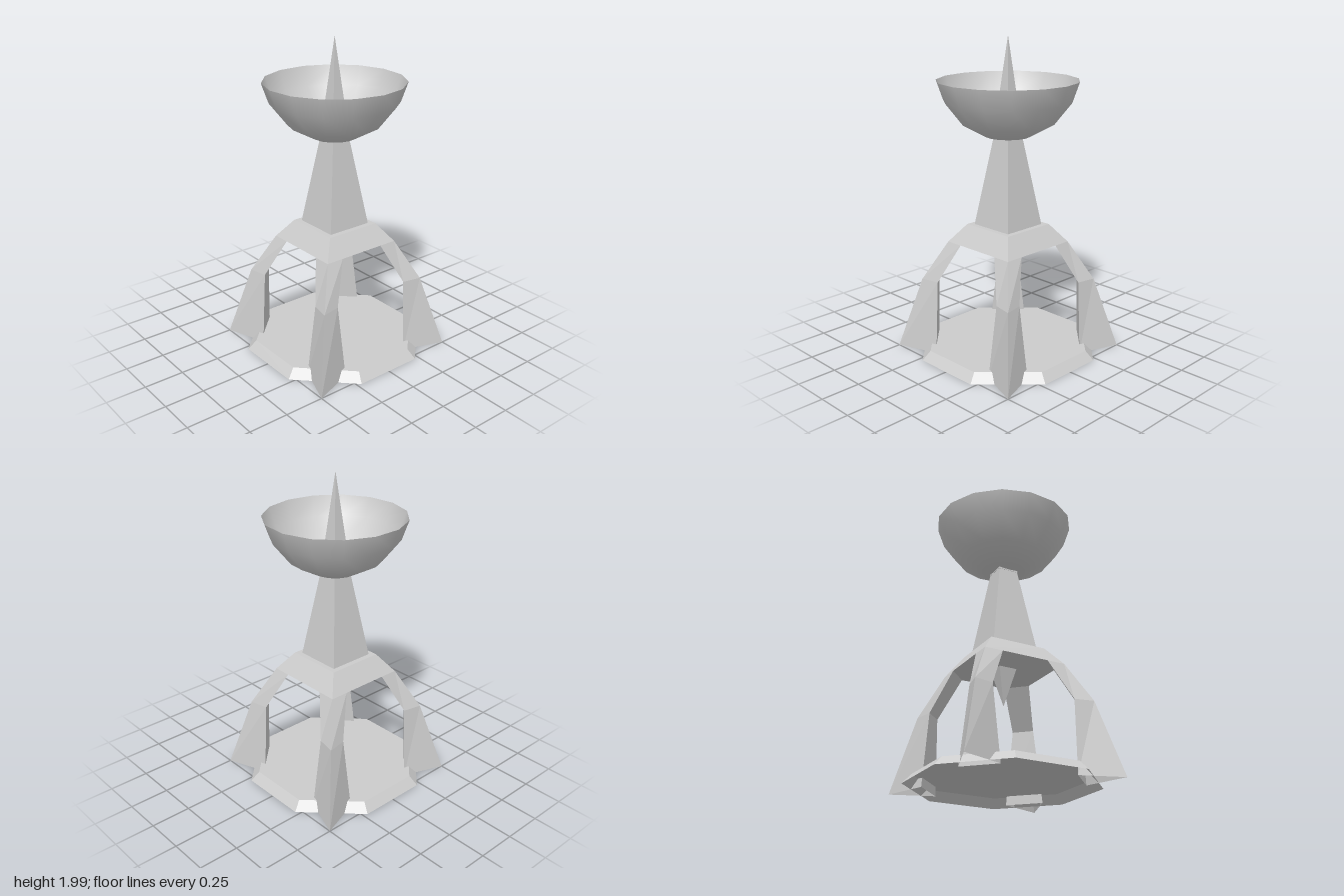
import * as THREE from 'three';

const flat = new THREE.MeshStandardMaterial({ color: 0xcccccc, flatShading: true, side: THREE.DoubleSide });
const smooth = new THREE.MeshStandardMaterial({ color: 0xcccccc, side: THREE.DoubleSide });

function part(name, geometry, material = flat) {
  const mesh = new THREE.Mesh(geometry, material);
  mesh.name = name;
  return mesh;
}

// Square tapered block given by half widths and heights
function taper(name, halfTop, halfBottom, yTop, yBottom) {
  const g = new THREE.CylinderGeometry(halfTop * Math.SQRT2, halfBottom * Math.SQRT2, yTop - yBottom, 4);
  g.rotateY(Math.PI / 4).translate(0, (yTop + yBottom) / 2, 0);
  return part(name, g);
}

function lathe(points, segments) {
  return new THREE.LatheGeometry(points.map(([r, y]) => new THREE.Vector2(r, y)), segments);
}

// Hollow three-sided leg: each section has an outer ridge and two mirrored wings
function legGeometry() {
  const sections = [ // y, ridge, wing near, wing far
    [0, 0.5, 0.24, 0.405],
    [0.46, 0.385, 0.265, 0.36],
    [0.71, 0.265, 0.15, 0.265],
  ];
  const positions = [];
  const index = [];
  for (const [y, ridge, near, far] of sections) {
    positions.push(ridge, y, ridge, far, y, near, near, y, far);
  }
  for (let s = 0; s < sections.length - 1; s++) {
    for (let i = 0; i < 3; i++) {
      const a = s * 3 + i, b = s * 3 + (i + 1) % 3;
      index.push(a, b, b + 3, a, b + 3, a + 3);
    }
  }
  const g = new THREE.BufferGeometry();
  g.setAttribute('position', new THREE.Float32BufferAttribute(positions, 3));
  g.setIndex(index);
  g.computeVertexNormals();
  return g;
}

export function createModel() {
  const model = new THREE.Group();
  model.name = 'spikedBowlStand';

  // Octagonal base, open underneath
  const base = lathe([[0.579, 0], [0.525, 0.055], [0, 0.055]], 8);
  base.rotateY(Math.PI / 8);
  model.add(part('base', base));

  // Four corner legs
  const leg = legGeometry();
  for (let i = 0; i < 4; i++) {
    const mesh = part('leg', leg);
    mesh.rotation.y = i * Math.PI / 2;
    model.add(mesh);
  }

  // Shoulder, pillar and the two spikes
  model.add(taper('shoulder', 0.18, 0.265, 0.825, 0.71));
  model.add(taper('pillar', 0.06, 0.147, 1.39, 0.825));
  model.add(taper('hangingSpike', 0.057, 0, 0.71, 0.48));
  model.add(taper('topSpike', 0, 0.065, 1.99, 1.37));

  // Thin open bowl
  const bowl = lathe([[0, 1.37], [0.14, 1.387], [0.285, 1.467], [0.392, 1.603], [0.434, 1.725]], 15);
  bowl.rotateY(Math.PI / 2);
  model.add(part('bowl', bowl, smooth));

  return model;
}
